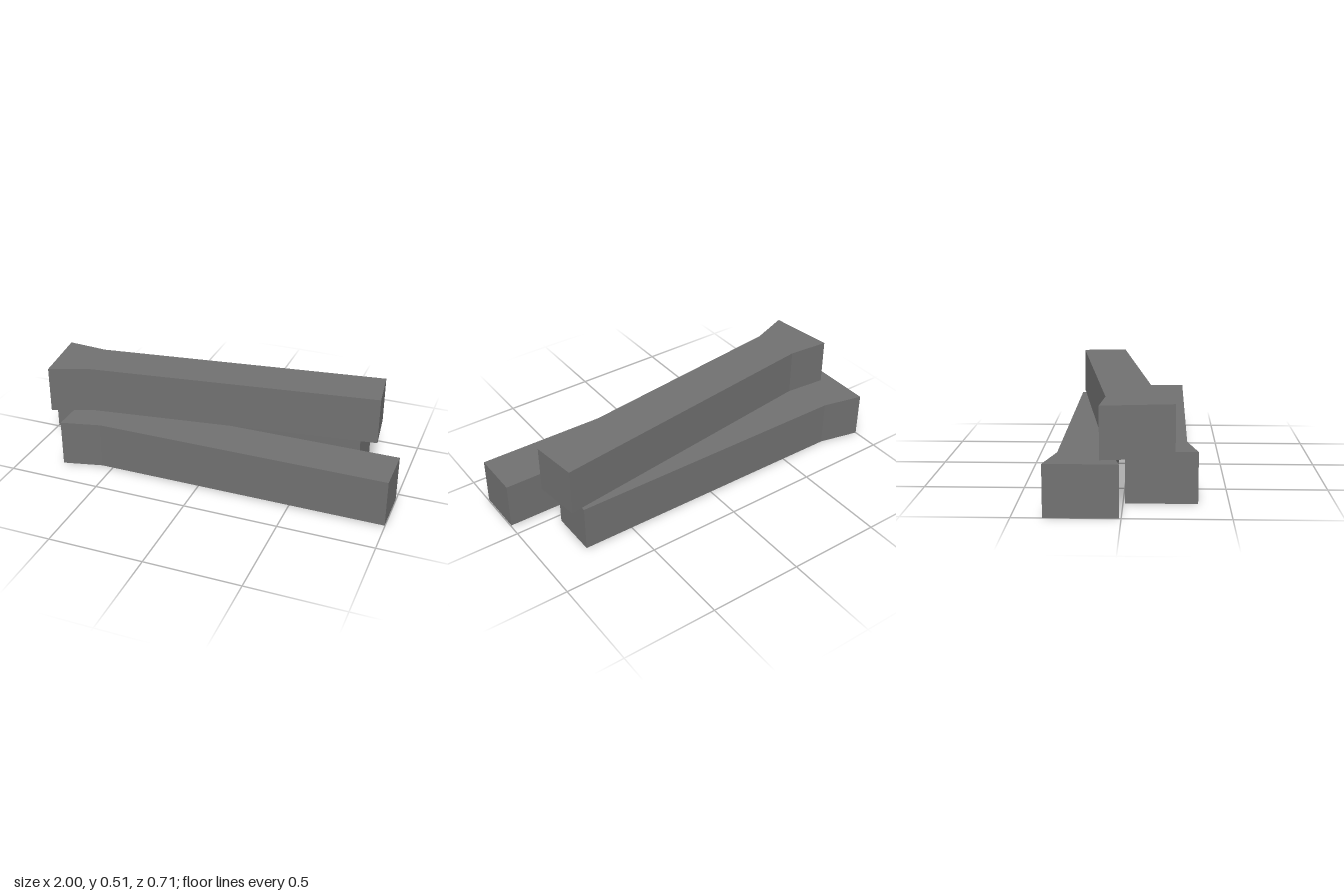
import * as THREE from 'three';

// Beam outlines seen from above as [x, z]; each has one flared end at -x.
// y0 and y1 are the underside heights at the flared and the plain end.
const HEIGHT = 0.25;
const BEAMS = [
  { name: 'backBeam', y0: 0.002, y1: 0.006,
    outline: [[-1, -0.355], [-0.78, -0.305], [0.77, -0.298], [0.77, -0.046], [-0.78, -0.055], [-1, -0.01]] },
  { name: 'frontBeam', y0: 0.005, y1: 0.011,
    outline: [[-0.77, 0.01], [-0.56, 0.06], [1, 0.064], [1, 0.314], [-0.56, 0.304], [-0.77, 0.353]] },
  { name: 'topBeam', y0: 0.253, y1: 0.258,
    outline: [[-0.93, -0.102], [-0.71, -0.083], [0.83, -0.288], [0.86, -0.042], [-0.68, 0.165], [-0.885, 0.243]] },
];

// Extrude the outline upward, then tilt it slightly along its length
function beamGeometry({ outline, y0, y1 }) {
  const shape = new THREE.Shape(outline.map(([x, z]) => new THREE.Vector2(x, -z)));
  const geometry = new THREE.ExtrudeGeometry(shape, { depth: HEIGHT, bevelEnabled: false });
  geometry.rotateX(-Math.PI / 2);
  const xs = outline.map((p) => p[0]);
  const minX = Math.min(...xs);
  const maxX = Math.max(...xs);
  const pos = geometry.attributes.position;
  for (let i = 0; i < pos.count; i++) {
    const t = (pos.getX(i) - minX) / (maxX - minX);
    pos.setY(i, pos.getY(i) + THREE.MathUtils.lerp(y0, y1, t));
  }
  geometry.computeVertexNormals();
  return geometry;
}

export function createModel() {
  const group = new THREE.Group();
  group.name = 'beamStack';
  const grey = new THREE.MeshStandardMaterial({ color: 0x707070, flatShading: true });
  grey.name = 'grey';
  for (const beam of BEAMS) {
    const mesh = new THREE.Mesh(beamGeometry(beam), grey);
    mesh.name = beam.name;
    group.add(mesh);
  }
  return group;
}
